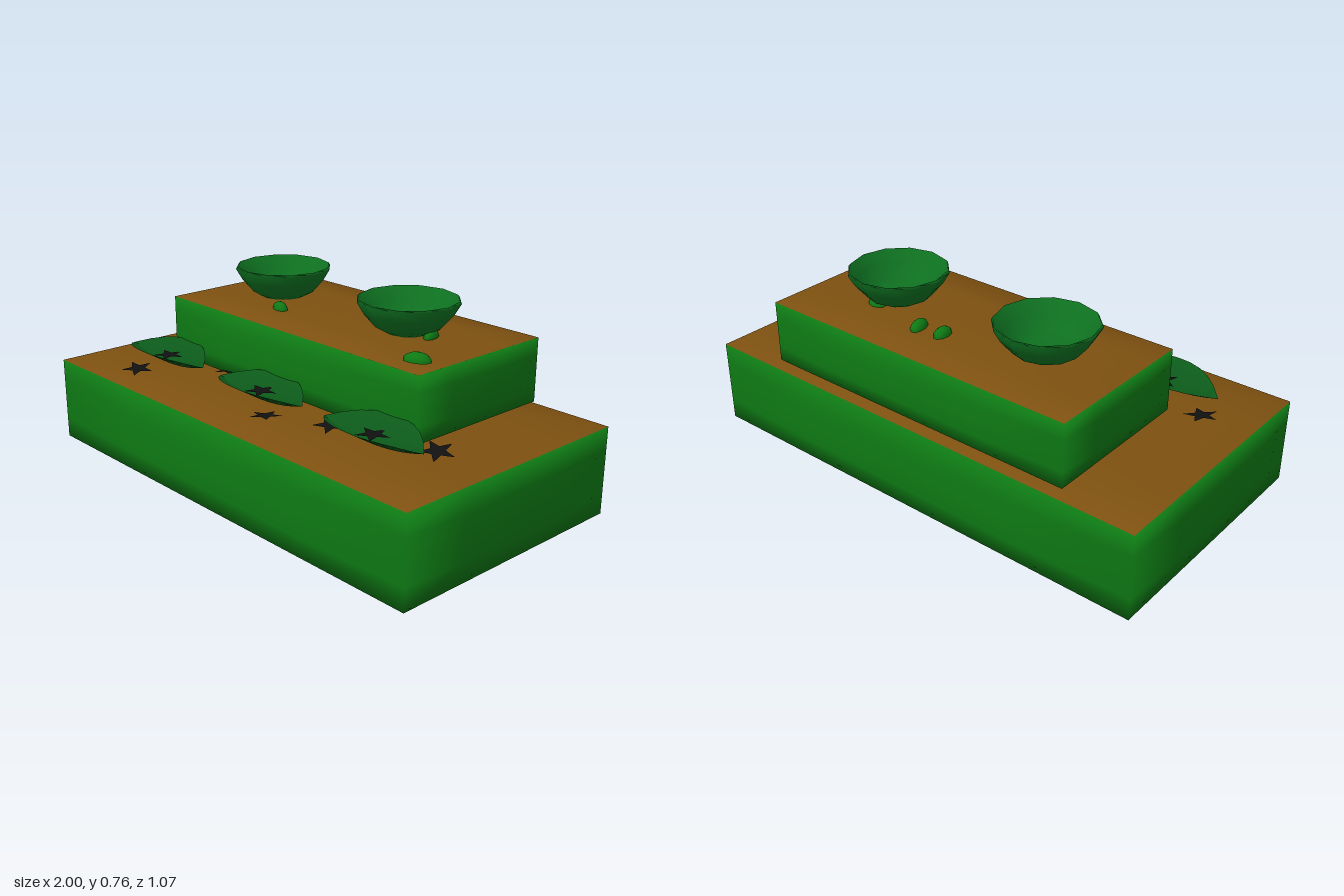
import * as THREE from 'three';
import { mergeVertices } from 'three/addons/utils/BufferGeometryUtils.js';

const green = new THREE.MeshStandardMaterial({ color: 0x0e7a14 });
const brown = new THREE.MeshStandardMaterial({ color: 0x7d5010 });
const leafGreen = new THREE.MeshStandardMaterial({ color: 0x0c5a1a, side: THREE.DoubleSide });
const bowlGreen = new THREE.MeshStandardMaterial({ color: 0x0e7020, side: THREE.DoubleSide });
const black = new THREE.MeshStandardMaterial({ color: 0x111111, side: THREE.DoubleSide });

function add(parent, name, geometry, material, x = 0, y = 0, z = 0) {
  const mesh = new THREE.Mesh(geometry, material);
  mesh.name = name;
  mesh.position.set(x, y, z);
  parent.add(mesh);
  return mesh;
}

// Box whose faces bulge softly away from its edges; the top face is brown
function cakeTier(w, h, d, bulge) {
  let geo = new THREE.BoxGeometry(2, 2, 2, 4, 4, 4);
  geo.deleteAttribute('uv');
  geo.deleteAttribute('normal');
  geo = mergeVertices(geo);
  const p = geo.attributes.position;
  const pull = (a, b) => bulge * Math.max(a * a, b * b) ** 2;
  for (let i = 0; i < p.count; i++) {
    const x = p.getX(i), y = p.getY(i), z = p.getZ(i);
    p.setXYZ(i,
      x * (w / 2 - pull(y, z)),
      y * (h / 2 - pull(x, z)),
      z * (d / 2 - pull(x, y)));
  }
  geo.computeVertexNormals();
  return geo;
}

// Leaf folded along its length, with the tips curling up
function leafGeometry() {
  const geo = new THREE.PlaneGeometry(2, 2, 10, 2);
  const p = geo.attributes.position;
  for (let i = 0; i < p.count; i++) {
    const u = p.getX(i), v = p.getY(i);
    const width = 0.118 * (1 - Math.abs(u) ** 2.3);
    const rise = 0.035 * u * u + 0.6 * width * Math.abs(v);
    p.setXYZ(i, u * 0.235, rise, -v * width);
  }
  geo.computeVertexNormals();
  return geo;
}

function starGeometry(r) {
  const shape = new THREE.Shape();
  for (let i = 0; i < 10; i++) {
    const a = Math.PI / 2 + i * Math.PI / 5, s = i % 2 ? r * 0.42 : r;
    shape[i ? 'lineTo' : 'moveTo'](Math.cos(a) * s, Math.sin(a) * s);
  }
  return new THREE.ShapeGeometry(shape).rotateX(-Math.PI / 2);
}

export function createModel() {
  const model = new THREE.Group();
  model.name = 'tieredCake';

  // Two tiers
  const sides = [green, green, brown, green, green, green];
  add(model, 'lowerTier', cakeTier(2, 0.37, 1.07, 0.015), sides, 0, 0.185, 0);
  add(model, 'upperTier', cakeTier(1.39, 0.274, 0.666, 0.013), sides, 0, 0.5, -0.167);

  // Bowls on the upper tier
  const bowlProfile = [
    [0, 0], [0.085, 0], [0.125, 0.022], [0.17, 0.075], [0.195, 0.118], [0.188, 0.127],
    [0.155, 0.08], [0.115, 0.04], [0.08, 0.022], [0, 0.022],
  ].map(([x, y]) => new THREE.Vector2(x, y));
  const bowl = new THREE.LatheGeometry(bowlProfile, 12);
  for (const x of [-0.37, 0.33]) add(model, 'bowl', bowl, bowlGreen, x, 0.634, -0.17);

  // Small drops: x, z, half width, half depth, turn
  const dome = new THREE.SphereGeometry(1, 10, 4, 0, Math.PI * 2, 0, Math.PI / 2);
  const drops = [
    [0, -0.295, 0.028, 0.045, 0.1], [0.105, -0.305, 0.028, 0.048, 0.25],
    [-0.21, -0.015, 0.042, 0.025, -0.2], [0.595, 0.065, 0.053, 0.033, 0.4],
    [0.36, -0.26, 0.045, 0.032, -0.3], [0.44, -0.175, 0.024, 0.045, 0.3],
  ];
  for (const [x, z, w, d, turn] of drops) {
    const drop = add(model, 'drop', dome, green, x, 0.634, z);
    drop.scale.set(w, 0.032, d);
    drop.rotation.y = turn;
  }

  // Leaves along the front, each holding a star
  const leaf = leafGeometry();
  const star = starGeometry(0.066);
  for (const x of [-0.585, 0, 0.585]) {
    add(model, 'leaf', leaf, leafGreen, x, 0.385, 0.267);
    add(model, 'leafStar', star, black, x, 0.418, 0.262);
  }

  // Loose stars on the lower tier, slightly tilted: x, z, tilt, turn
  const loose = [
    [-0.8, 0.19, 0.12, 0.15], [-0.615, 0.395, 0.1, 0.1], [-0.35, 0.14, -0.1, 0.4],
    [0.36, 0.245, 0.1, -0.1], [0.135, 0.355, -0.1, 0.3], [0.77, 0.145, 0.15, -0.1],
  ];
  for (const [x, z, tilt, turn] of loose) {
    add(model, 'looseStar', star, black, x, 0.382, z).rotation.set(tilt, turn, -tilt);
  }
  return model;
}
